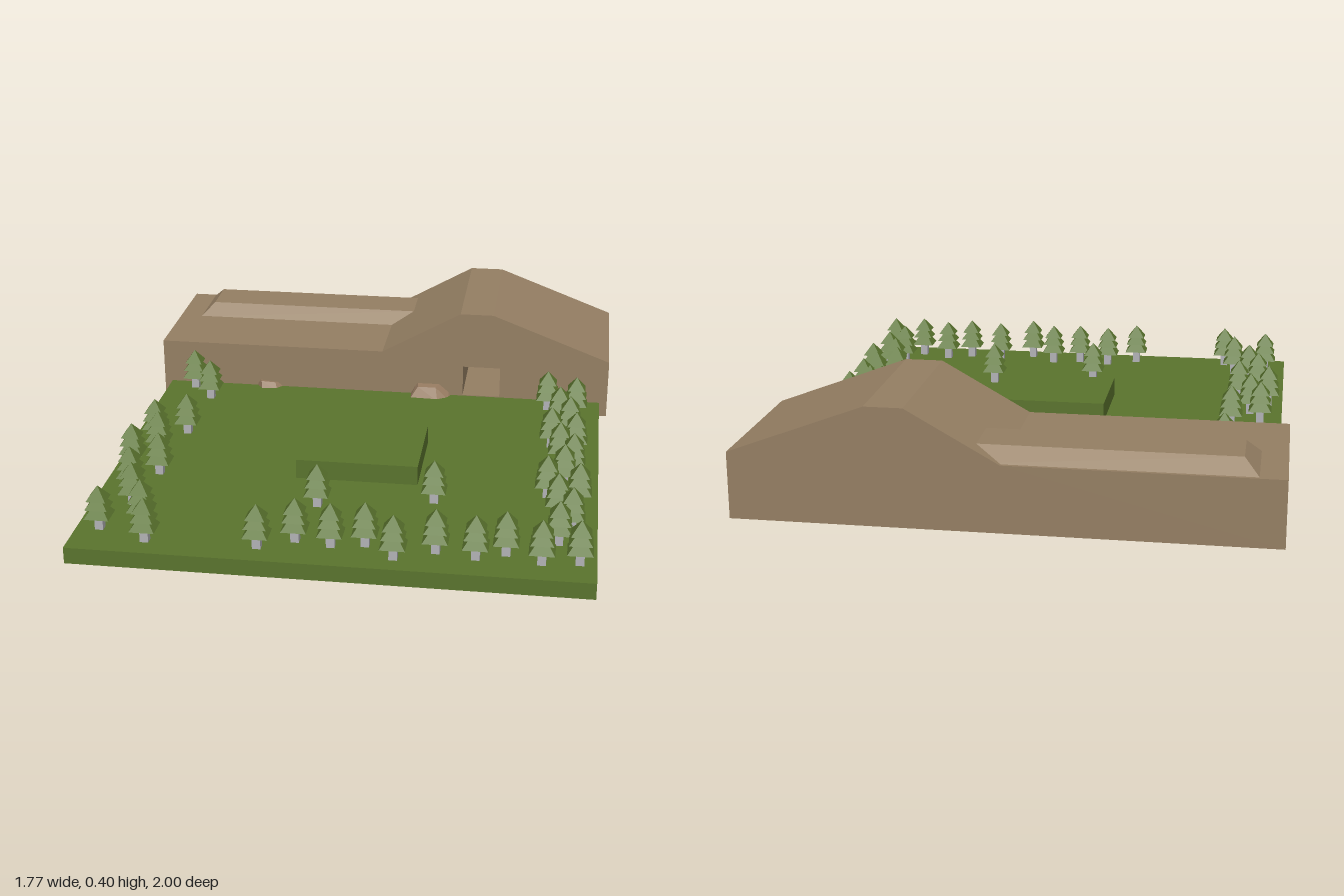
import * as THREE from 'three';
import { mergeGeometries } from 'three/addons/utils/BufferGeometryUtils.js';
import { ConvexGeometry } from 'three/addons/geometries/ConvexGeometry.js';

const material = (name, color) => {
  const m = new THREE.MeshStandardMaterial({ color });
  m.name = name;
  return m;
};

// Box given by its low and high corners
function box([x0, y0, z0], [x1, y1, z1]) {
  const g = new THREE.BoxGeometry(x1 - x0, y1 - y0, z1 - z0);
  return g.translate((x0 + x1) / 2, (y0 + y1) / 2, (z0 + z1) / 2);
}

const hull = (points) => new ConvexGeometry(points.map((p) => new THREE.Vector3(...p)));

// Mountain cross-section, extruded between two depths
function mountainSlice(zBack, zFront, hole) {
  const outline = [[-0.885, 0.002], [0.885, 0.002], [0.885, 0.227], [0.432, 0.398],
    [0.305, 0.398], [0, 0.227], [-0.885, 0.227]];
  const shape = new THREE.Shape(outline.map((p) => new THREE.Vector2(...p)));
  if (hole) shape.holes.push(new THREE.Path(hole.map((p) => new THREE.Vector2(...p))));
  const g = new THREE.ExtrudeGeometry(shape, { depth: zFront - zBack, bevelEnabled: false });
  return g.translate(0, 0, zBack);
}

// Three stacked square pyramids
function foliageGeometry() {
  const tiers = [[0.042, 0.105, 0.06], [0.038, 0.137, 0.05], [0.033, 0.166, 0.047]];
  const g = mergeGeometries(tiers.map(([half, y, h]) =>
    new THREE.ConeGeometry(half * Math.SQRT2, h, 4)
      .rotateY(Math.PI / 4).translate(0, y + h / 2, 0).toNonIndexed()));
  g.computeVertexNormals();
  return g;
}

const TREES = [
  // right side of the field
  [-0.745, -0.38], [-0.66, -0.28], [-0.67, 0.06], [-0.775, 0.125], [-0.735, 0.23], [-0.8, 0.35],
  [-0.685, 0.415], [-0.755, 0.54], [-0.715, 0.66], [-0.65, 0.785], [-0.775, 0.85], [-0.605, 0.915],
  // front row
  [-0.235, 0.91], [-0.12, 0.85], [0, 0.87], [0.11, 0.85], [0.21, 0.925], [0.34, 0.865],
  [0.47, 0.89], [0.565, 0.85], [0.68, 0.895], [0.8, 0.88],
  // left side of the field
  [0.73, 0.755], [0.77, 0.65], [0.72, 0.55], [0.79, 0.46], [0.68, 0.415], [0.735, 0.315],
  [0.765, 0.22], [0.715, 0.13], [0.77, 0.035], [0.68, 0], [0.745, -0.11], [0.705, -0.2],
  [0.765, -0.3], [0.655, -0.345],
  // lone trees by the platform
  [-0.09, 0.59], [0.3, 0.51],
];

export function createModel() {
  const root = new THREE.Group();
  root.name = 'landscape';
  const grass = material('grass green', 0x5b752e);
  const earth = material('earth brown', 0x968064);
  const stone = material('stone brown', 0x94795f);
  const bark = material('trunk grey', 0xb4b4b8);

  const add = (name, geometry, mat, parent = root) => {
    const mesh = new THREE.Mesh(geometry, mat);
    mesh.name = name;
    parent.add(mesh);
    return mesh;
  };

  // Field and raised platform
  add('field', box([-0.855, 0, -0.73], [0.855, 0.057, 1]), grass);
  add('platform', box([-0.2, 0.05, 0.035], [0.23, 0.127, 0.39]), grass);

  // Mountain with a square cave in its front
  const mountain = new THREE.Group();
  mountain.name = 'mountain';
  root.add(mountain);
  const cave = [[0.32, 0.06], [0.32, 0.18], [0.465, 0.18], [0.465, 0.06]];
  add('mountainFront', mountainSlice(-0.75, -0.43, cave), earth, mountain);
  add('mountainBack', mountainSlice(-1, -0.75), earth, mountain);

  // Low ridge with sloping sides that runs into the hill
  add('ridge', hull([
    [-0.8, 0.225, -0.99], [-0.8, 0.225, -0.73], [0.1, 0.225, -0.99], [0.1, 0.225, -0.73],
    [-0.75, 0.275, -0.94], [-0.75, 0.275, -0.775], [0.1, 0.275, -0.94], [0.1, 0.275, -0.775],
  ]), earth, mountain);

  // Rocks at the foot of the mountain
  add('smallRock', hull([
    [-0.52, 0.05, -0.45], [-0.38, 0.05, -0.45], [-0.48, 0.05, -0.395], [-0.42, 0.05, -0.4],
    [-0.5, 0.08, -0.45], [-0.41, 0.072, -0.45], [-0.485, 0.08, -0.415], [-0.43, 0.075, -0.42],
  ]), stone);
  add('largeRock', hull([
    [0.11, 0.05, -0.45], [0.285, 0.05, -0.45], [0.115, 0.05, -0.38], [0.225, 0.05, -0.375],
    [0.265, 0.05, -0.4], [0.14, 0.105, -0.45], [0.235, 0.105, -0.45],
    [0.145, 0.095, -0.405], [0.215, 0.095, -0.405], [0.265, 0.08, -0.45],
  ]), stone);

  // Trees
  const foliage = foliageGeometry();
  const trunk = box([-0.014, 0.05, -0.014], [0.014, 0.11, 0.014]);
  for (const [x, z] of TREES) {
    const tree = new THREE.Group();
    tree.name = 'tree';
    tree.position.set(x, 0, z);
    add('foliage', foliage, grass, tree);
    add('trunk', trunk, bark, tree);
    root.add(tree);
  }
  return root;
}
